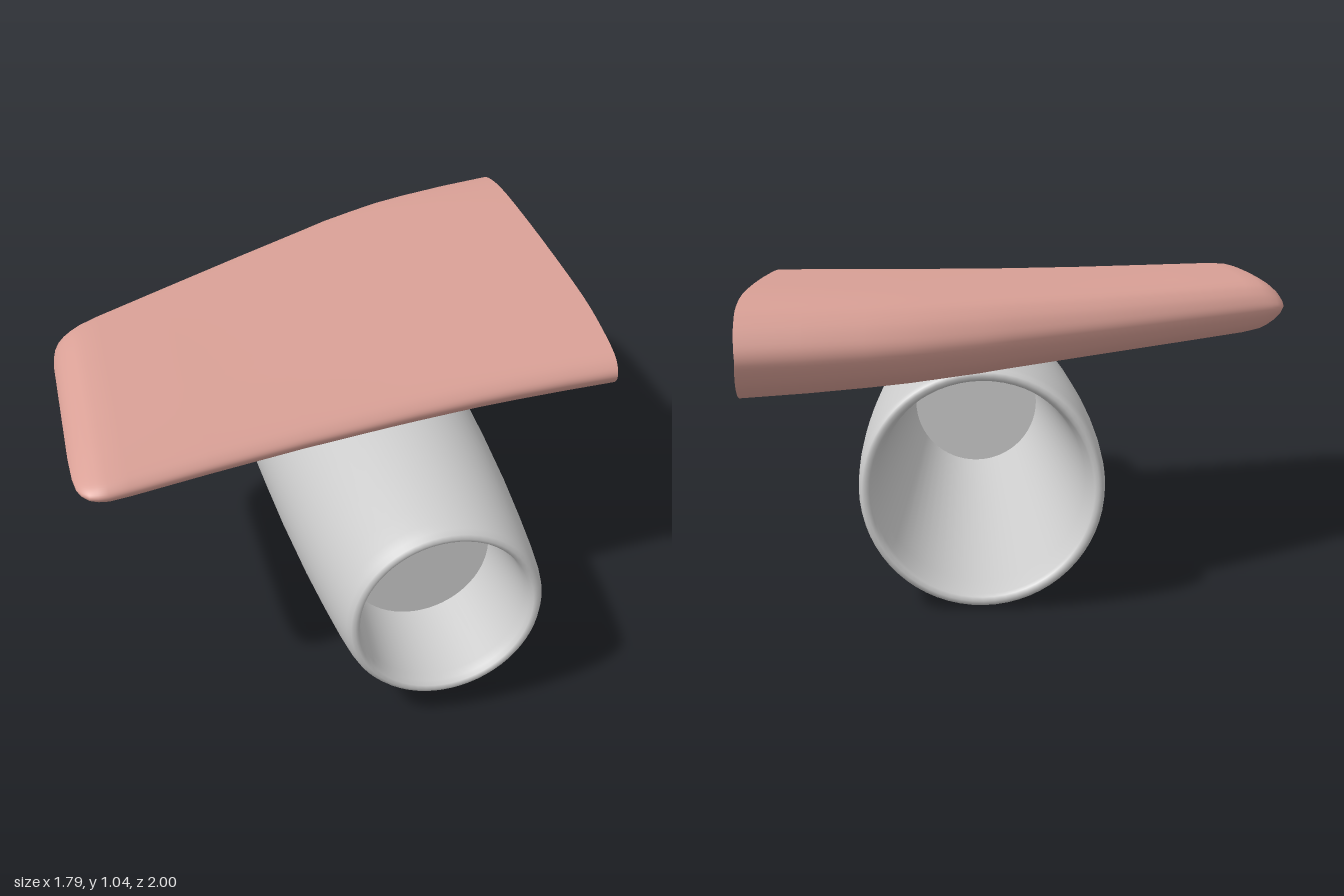
import * as THREE from 'three';

const WING_Y = 0.89;

// Closed airfoil ring: x = chord fraction from the rear, y = half-height fraction
function airfoilRing() {
  const half = [[0.01, 0.3], [0.046, 0.67], [0.1, 0.9], [0.19, 1], [0.36, 0.98], [0.66, 0.83],
    [0.79, 0.72], [0.88, 0.57], [0.96, 0.37], [0.99, 0.19]];
  const pts = [[0, 0], ...half, [1, 0], ...half.slice().reverse().map(([u, h]) => [u, -h])];
  const curve = new THREE.CatmullRomCurve3(pts.map(([u, h]) => new THREE.Vector3(u, h, 0)), true);
  return curve.getPoints(88).slice(0, -1);
}

// Stations along the span: x, rear z, front z, half height
const STATIONS = [
  [0.88, -1, 0.52, 0.15], [0.7, -0.955, 0.538, 0.146], [0.52, -0.905, 0.56, 0.14],
  [0.4, -0.865, 0.578, 0.135], [0.3, -0.82, 0.596, 0.13], [0.18, -0.76, 0.618, 0.125],
  [0.08, -0.7, 0.638, 0.12], [-0.2, -0.53, 0.698, 0.11], [-0.5, -0.34, 0.772, 0.102],
  [-0.74, -0.188, 0.836, 0.095], [-0.8, -0.15, 0.85, 0.088], [-0.83, -0.13, 0.85, 0.077],
  [-0.855, -0.11, 0.842, 0.062], [-0.875, -0.085, 0.82, 0.045], [-0.888, -0.05, 0.79, 0.028],
  [-0.896, 0, 0.73, 0.013], [-0.9, 0.05, 0.62, 0],
];

function meshGeometry(positions, indices) {
  const g = new THREE.BufferGeometry();
  g.setAttribute('position', new THREE.Float32BufferAttribute(positions, 3));
  g.setIndex(indices);
  g.computeVertexNormals();
  return g;
}

function createWing(material) {
  const ring = airfoilRing();
  const n = ring.length;
  const wing = new THREE.Group();
  wing.name = 'wing';

  // Skin lofted from root to rounded tip
  const pos = [], idx = [];
  STATIONS.forEach(([x, back, front, h], s) => {
    for (const p of ring) {
      const bow = s === 0 ? 0.013 * Math.abs(p.y) : 0;
      pos.push(x + bow, WING_Y + p.y * h, back + (front - back) * p.x);
    }
    if (s === STATIONS.length - 1) return;
    for (let i = 0; i < n; i++) {
      const j = (i + 1) % n, a = s * n + i, b = s * n + j;
      idx.push(a, a + n, b, b, a + n, b + n);
    }
  });
  const skin = new THREE.Mesh(meshGeometry(pos, idx), material);
  skin.name = 'wingSkin';

  // Root end cap
  const capPos = pos.slice(0, n * 3), capIdx = [];
  capPos.push(0.89, WING_Y, -0.3);
  for (let i = 0; i < n; i++) capIdx.push(n, i, (i + 1) % n);
  const cap = new THREE.Mesh(meshGeometry(capPos, capIdx), material);
  cap.name = 'wingRootCap';

  wing.add(skin, cap);
  return wing;
}

function createEngine(material) {
  const engine = new THREE.Group();
  engine.name = 'engine';

  // Hollow housing: exhaust bore, rear lip, outer wall, front lip, intake bore
  const profile = [
    [0.24, 0.66], [0.335, -0.52], [0.345, -0.58], [0.35, -0.61], [0.356, -0.624],
    [0.368, -0.63], [0.38, -0.626], [0.388, -0.61], [0.392, -0.58], [0.397, -0.45],
    [0.398, -0.3], [0.396, -0.15], [0.39, 0.03], [0.38, 0.27], [0.364, 0.52], [0.346, 0.72],
    [0.33, 0.87], [0.32, 0.94], [0.312, 0.975], [0.302, 0.993], [0.29, 1], [0.279, 0.995],
    [0.271, 0.98], [0.266, 0.95], [0.24, 0.67],
  ].map(([r, z]) => new THREE.Vector2(r, z));
  const housing = new THREE.Mesh(new THREE.LatheGeometry(profile, 64).rotateX(Math.PI / 2), material);
  housing.name = 'engineHousing';

  // Flat disc closing the intake
  const disc = new THREE.Mesh(new THREE.CircleGeometry(0.242, 64), material);
  disc.name = 'intakeDisc';
  disc.position.z = 0.67;

  engine.add(housing, disc);
  engine.position.set(0.18, 0.4, 0);
  return engine;
}

export function createModel() {
  const model = new THREE.Group();
  model.name = 'wingWithEngine';
  const wingMaterial = new THREE.MeshStandardMaterial({ color: 0xd9a096 });
  const engineMaterial = new THREE.MeshStandardMaterial({ color: 0xcccccc, side: THREE.DoubleSide });
  model.add(createWing(wingMaterial), createEngine(engineMaterial));
  return model;
}
